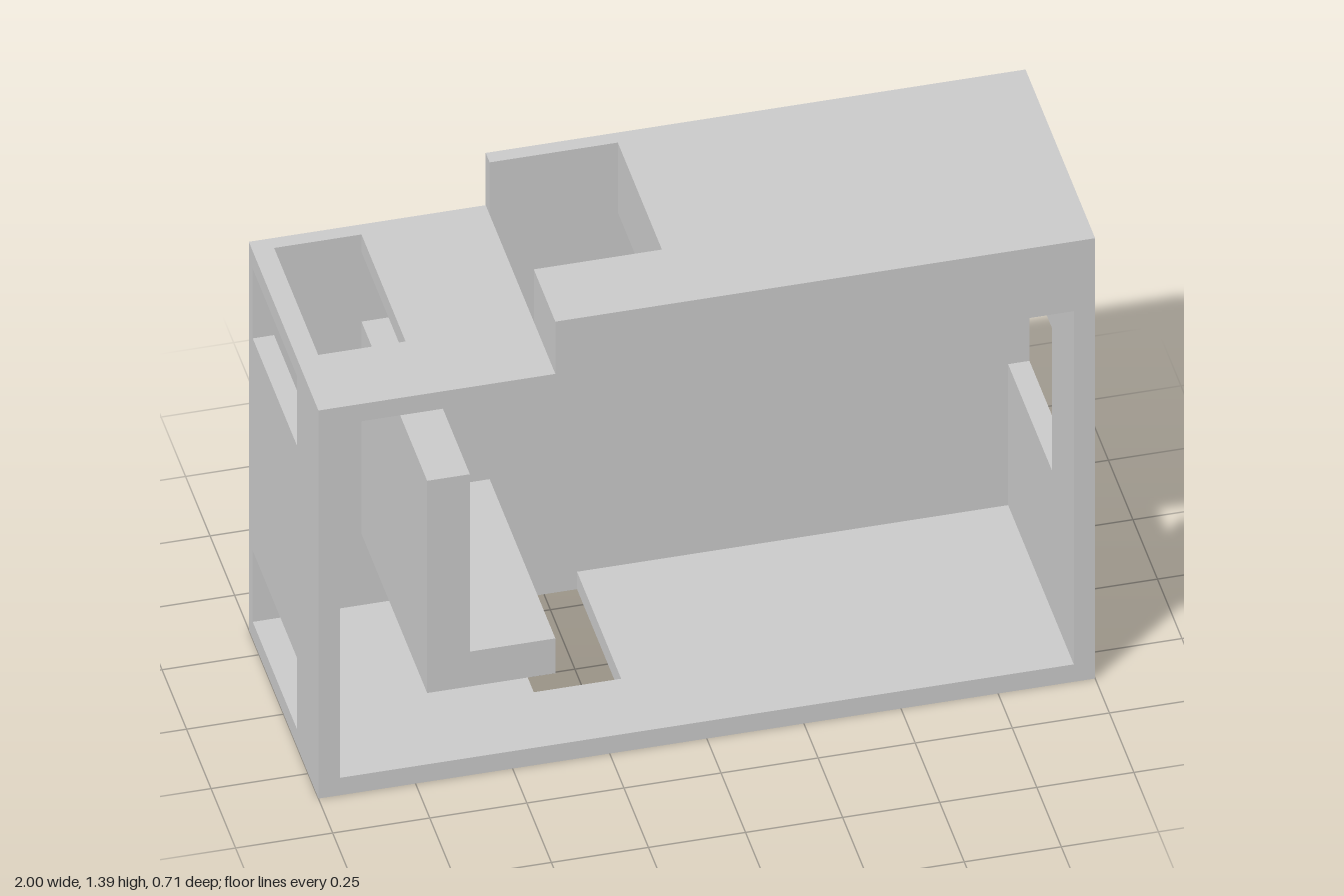
import * as THREE from 'three';

const H = 1.39, STEP_Y = 1.225, STEP_X = -0.39;   // overall height, low roof height, step position
const T = 0.055, IN_X = 1 - T, IN_TOP = 1.17;     // wall thickness, cavity limits
const FRONT = 0.355, BACK = -0.315, CUT = 0.135;  // front plane, inside of back panel, front edge of openings

const material = new THREE.MeshStandardMaterial({ color: 0xcccccc, flatShading: true });

function extrude(points, depth) {
  const shape = new THREE.Shape(points.map(([a, b]) => new THREE.Vector2(a, b)));
  return new THREE.ExtrudeGeometry(shape, { depth, bevelEnabled: false });
}

// Outline in (x, y), from z0 to z1
const upright = (pts, z0, z1) => extrude(pts, z1 - z0).translate(0, 0, z0);
// Outline in (x, z), from y0 to y1
const flat = (pts, y0, y1) =>
  extrude(pts.map(([x, z]) => [x, -z]), y1 - y0).rotateX(-Math.PI / 2).translate(0, y0, 0);
// Outline in (z, y), from x0 to x1
const side = (pts, x0, x1) =>
  extrude(pts.map(([z, y]) => [-z, y]), x1 - x0).rotateY(Math.PI / 2).translate(x0, 0, 0);

// Panel outline with a notch from a to b in its back edge
const notched = (x0, x1, a, b) => [
  [x0, FRONT], [x1, FRONT], [x1, BACK], [b, BACK], [b, CUT], [a, CUT], [a, BACK], [x0, BACK],
];

export function createModel() {
  const group = new THREE.Group();
  const add = (name, geometry) => {
    const mesh = new THREE.Mesh(geometry, material);
    mesh.name = name;
    group.add(mesh);
  };

  // Closed back with the stepped silhouette
  add('backPanel', upright(
    [[-1, 0], [1, 0], [1, H], [STEP_X, H], [STEP_X, STEP_Y], [-1, STEP_Y]], -FRONT, BACK));

  // Floor with its opening
  add('floor', flat(notched(-1, 1, STEP_X, -0.165), 0, T));

  // Low roof with its opening
  add('lowRoof', flat(notched(-1, STEP_X, -IN_X, -0.72), IN_TOP, STEP_Y));

  // Thick raised roof, cut away at the step
  add('raisedRoof', flat([
    [STEP_X, FRONT], [1, FRONT], [1, BACK], [-0.06, BACK], [-0.06, CUT], [STEP_X, CUT],
  ], IN_TOP, H));

  // Left end wall with one window against the back panel
  add('leftWall', side([
    [FRONT, T], [FRONT, IN_TOP], [BACK, IN_TOP], [BACK, 0.95],
    [CUT, 0.95], [CUT, 0.5], [BACK, 0.5], [BACK, T],
  ], IN_X, 1));

  // Right end wall with openings above the floor and below the roof
  add('rightWall', side([
    [FRONT, T], [FRONT, IN_TOP], [CUT, IN_TOP], [CUT, 0.95], [BACK, 0.95],
    [BACK, 0.28], [CUT, 0.28], [CUT, T],
  ], -1, -IN_X));

  // L-shaped inner shelf, fixed to the back panel
  add('innerShelf', upright([
    [-0.72, 0.28], [STEP_X, 0.28], [STEP_X, 0.39], [-0.61, 0.39], [-0.61, 0.95], [-0.72, 0.95],
  ], BACK, FRONT));

  return group;
}
